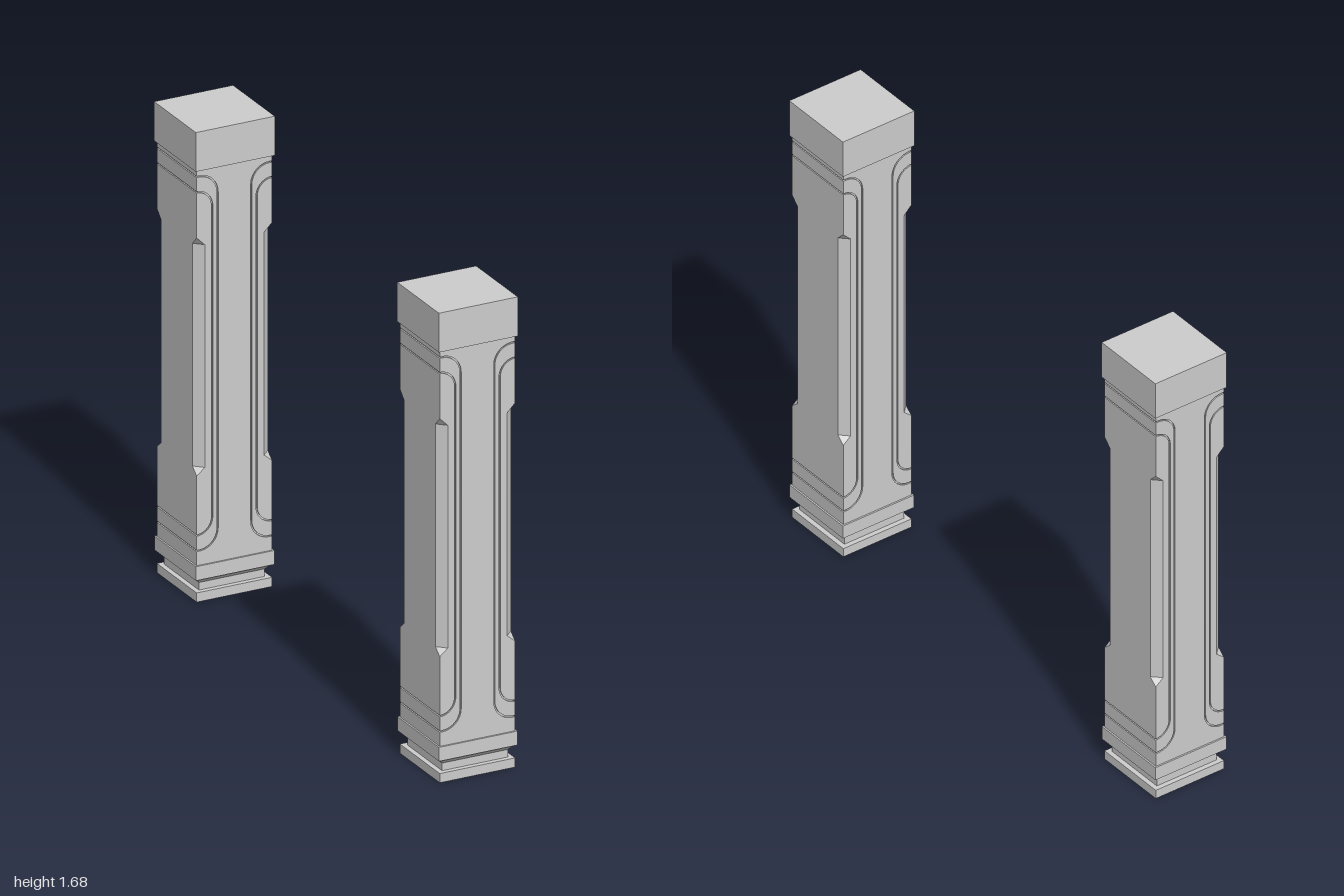
import * as THREE from 'three';
import { toCreasedNormals } from 'three/addons/utils/BufferGeometryUtils.js';

const HALF = 0.14;            // half width of the shaft
const TOP = 1.54, BOTTOM = 0.13;
const MID_Y = 0.85;           // grooves mirror about this height
const material = new THREE.MeshStandardMaterial({ color: 0xcccccc });

function add(parent, name, geometry) {
  const mesh = new THREE.Mesh(toCreasedNormals(geometry, 0.5), material);
  mesh.name = name;
  parent.add(mesh);
  return mesh;
}

// Half column of six-sided sections; each level is [y, inner x, corner chamfer]
function loft(levels, h) {
  const pos = [], index = [];
  for (const [y, xi, c] of levels) {
    const ring = [[xi, h], [h - c, h], [h, h - c], [h, c - h], [h - c, -h], [xi, -h]];
    for (const [x, z] of ring) pos.push(x, y, z);
  }
  for (let j = 0; j < levels.length - 1; j++) {
    for (let i = 0; i < 6; i++) {
      const a = j * 6 + i, b = j * 6 + (i + 1) % 6;
      index.push(a, b, b + 6, a, b + 6, a + 6);
    }
  }
  const g = new THREE.BufferGeometry();
  g.setAttribute('position', new THREE.Float32BufferAttribute(pos, 3));
  g.setIndex(index);
  return g;
}

// Outline of a rounded side bay, from its top edge round to its bottom edge
function bay(x, top, r) {
  const pts = [[HALF, top]], n = 10, dy = top - MID_Y - r;
  for (let i = 0; i <= n; i++) {
    const a = Math.PI / 2 * (1 + i / n);
    pts.push([x + r + r * Math.cos(a), MID_Y + dy + r * Math.sin(a)]);
  }
  const lower = pts.map(([px, py]) => [px, 2 * MID_Y - py]).reverse();
  return [...pts, ...lower].map(p => new THREE.Vector2(...p));
}

function extrude(points) {
  const g = new THREE.ExtrudeGeometry(new THREE.Shape(points), { depth: 2 * HALF, bevelEnabled: false });
  return g.translate(0, 0, -HALF);
}

// Square turned moulding; the profile is [half width, y]
function squareLathe(profile) {
  const pts = profile.map(([r, y]) => new THREE.Vector2(r * Math.SQRT2, y));
  return new THREE.LatheGeometry(pts, 4).rotateY(Math.PI / 4);
}

function createPillar() {
  const pillar = new THREE.Group();
  pillar.name = 'pillar';

  // Stepped base, hollow underneath
  add(pillar, 'base', squareLathe([
    [0, 0.1], [0.035, 0.1], [0.035, 0.075], [0.07, 0.075], [0.07, 0.045], [0.1, 0.045],
    [0.1, 0.02], [0.12, 0.02], [0.12, 0], [0.14, 0], [0.14, 0.033], [0.122, 0.033],
    [0.122, 0.06], [0.135, 0.075], [0.135, 0.08], [0.146, 0.08], [0.146, BOTTOM], [0, BOTTOM],
  ]));

  // Cap block
  const cap = add(pillar, 'cap', new THREE.BoxGeometry(0.293, 0.14, 0.293));
  cap.position.y = 1.61;

  // Central web, narrowed by a bay on each side
  const edge = bay(0.06, 1.52, 0.07);
  const right = [new THREE.Vector2(HALF, TOP), ...edge, new THREE.Vector2(HALF, BOTTOM)];
  const left = right.map(p => new THREE.Vector2(-p.x, p.y)).reverse();
  add(pillar, 'centralWeb', extrude([...right, ...left]));

  // Panel sections: rounded ends and a stopped chamfer on the outer corners
  const r = 0.055, levels = [], arc = [];
  for (let i = 0; i <= 10; i++) {
    const a = Math.PI / 2 * i / 10;
    arc.push([0.61 - r + r * Math.sin(a), HALF - r * Math.cos(a)]);
  }
  for (const [dy, x] of [...arc].reverse()) levels.push([MID_Y - dy, x, 0]);
  levels.push([0.45, 0.085, 0], [0.475, 0.085, 0.03], [1.27, 0.085, 0.03], [1.3, 0.085, 0]);
  for (const [dy, x] of arc) levels.push([MID_Y + dy, x, 0]);

  // Left and right sides: groove floor, curved band and panel
  for (const turn of [0, Math.PI]) {
    const side = new THREE.Group();
    side.name = turn ? 'rightSide' : 'leftSide';
    side.rotation.y = turn;
    add(side, 'core', loft([
      [BOTTOM, 0, 0], [0.44, 0, 0], [0.465, 0, 0.024], [1.28, 0, 0.024], [1.31, 0, 0], [TOP, 0, 0],
    ], HALF - 0.005));
    add(side, 'band', extrude([...bay(0.065, 1.515, 0.065), ...bay(0.08, 1.465, 0.06).reverse()]));
    add(side, 'panel', loft(levels, HALF));
    pillar.add(side);
  }
  return pillar;
}

export function createModel() {
  const model = new THREE.Group();
  model.name = 'pillarPair';
  for (const z of [0.853, -0.853]) {
    const pillar = createPillar();
    pillar.name = z > 0 ? 'frontPillar' : 'backPillar';
    pillar.position.z = z;
    model.add(pillar);
  }
  return model;
}
